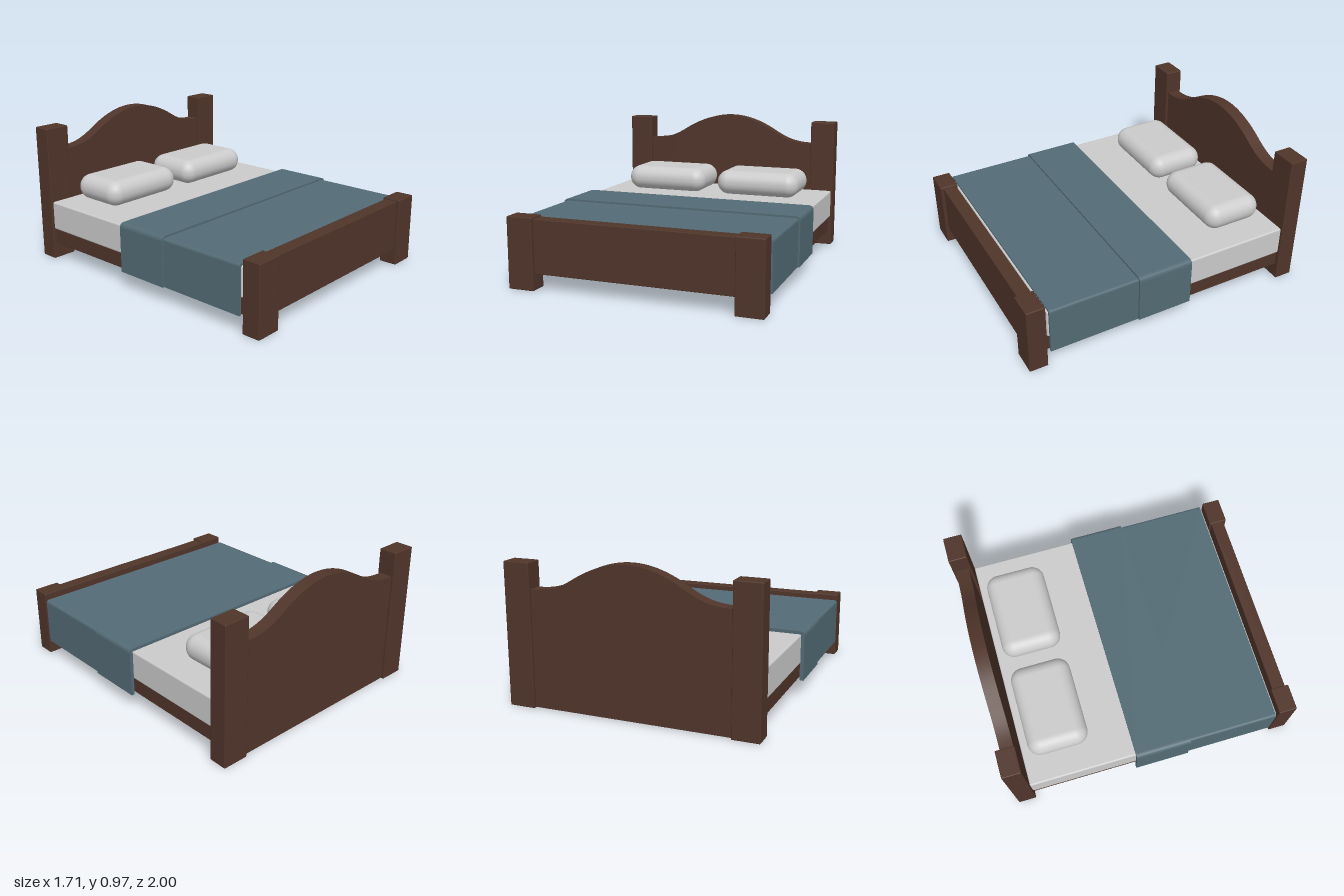
import * as THREE from 'three';
import { RoundedBoxGeometry } from 'three/addons/geometries/RoundedBoxGeometry.js';

export function createModel() {
  const bed = new THREE.Group();
  bed.name = 'bed';
  const wood = new THREE.MeshStandardMaterial({ color: 0x50352a });
  const linen = new THREE.MeshStandardMaterial({ color: 0xcccccc });
  const cloth = new THREE.MeshStandardMaterial({ color: 0x536b75 });

  const add = (name, geometry, material) => {
    const mesh = new THREE.Mesh(geometry, material);
    mesh.name = name;
    bed.add(mesh);
    return mesh;
  };
  // Softly rounded box given by its extents on each axis
  const block = (name, [x0, x1], [y0, y1], [z0, z1], material, radius = 0.006, segments = 2) => {
    const g = new RoundedBoxGeometry(x1 - x0, y1 - y0, z1 - z0, segments, radius);
    g.translate((x0 + x1) / 2, (y0 + y1) / 2, (z0 + z1) / 2);
    return add(name, g, material);
  };
  // Shape extruded along z between two depths
  const slab = (name, shape, z0, z1, material) => {
    const g = new THREE.ExtrudeGeometry(shape, { depth: z1 - z0, bevelEnabled: false, curveSegments: 20 });
    g.translate(0, 0, z0);
    return add(name, g, material);
  };

  // Posts, side rails and pillows, mirrored left and right
  for (const s of [1, -1]) {
    const span = (a, b) => (s > 0 ? [a, b] : [-b, -a]);
    const side = s > 0 ? 'left' : 'right';
    block(side + 'HeadPost', span(0.66, 0.838), [0, 0.938], [-1, -0.875], wood);
    block(side + 'FootPost', span(0.66, 0.838), [0, 0.47], [0.875, 1], wood);
    block(side + 'Rail', span(0.71, 0.81), [0.108, 0.222], [-0.88, 0.88], wood, 0.004);
    block(side + 'Pillow', span(0.05, 0.665), [0.42, 0.597], [-0.82, -0.408], linen, 0.086, 8);
  }

  // Headboard with a crowned top edge
  const crown = new THREE.Shape();
  crown.moveTo(-0.67, 0.005);
  crown.lineTo(0.67, 0.005);
  crown.lineTo(0.67, 0.77);
  crown.bezierCurveTo(0.54, 0.77, 0.47, 0.79, 0.37, 0.85);
  crown.bezierCurveTo(0.25, 0.925, 0.13, 0.97, 0, 0.97);
  crown.bezierCurveTo(-0.13, 0.97, -0.25, 0.925, -0.37, 0.85);
  crown.bezierCurveTo(-0.47, 0.79, -0.54, 0.77, -0.67, 0.77);
  slab('headboard', crown, -0.982, -0.893, wood);

  // Footboard
  block('footboard', [-0.67, 0.67], [0.108, 0.46], [0.887, 0.978], wood, 0.004);

  // Slats between the rails
  for (let i = 0; i < 5; i++) {
    const z = -0.6 + i * 0.3;
    block('slat' + (i + 1), [-0.72, 0.72], [0.15, 0.221], [z - 0.055, z + 0.055], wood, 0.004);
  }

  // Mattress
  block('mattress', [-0.828, 0.828], [0.22, 0.42], [-0.875, 0.866], linen, 0.012, 3);

  // Covers draped over the mattress: an upside-down U with rounded shoulders
  const drape = (halfWidth, top, inner, innerTop, r) => {
    const u = new THREE.Shape();
    u.moveTo(inner, 0.11);
    u.lineTo(halfWidth, 0.11);
    u.lineTo(halfWidth, top - r);
    u.quadraticCurveTo(halfWidth, top, halfWidth - r, top);
    u.lineTo(r - halfWidth, top);
    u.quadraticCurveTo(-halfWidth, top, -halfWidth, top - r);
    u.lineTo(-halfWidth, 0.11);
    u.lineTo(-inner, 0.11);
    u.lineTo(-inner, innerTop);
    u.lineTo(inner, innerTop);
    u.closePath();
    return u;
  };
  slab('blanket', drape(0.842, 0.432, 0.826, 0.416, 0.02), -0.13, 0.855, cloth);
  slab('blanketFold', drape(0.855, 0.445, 0.832, 0.424, 0.035), -0.14, 0.242, cloth);

  return bed;
}
